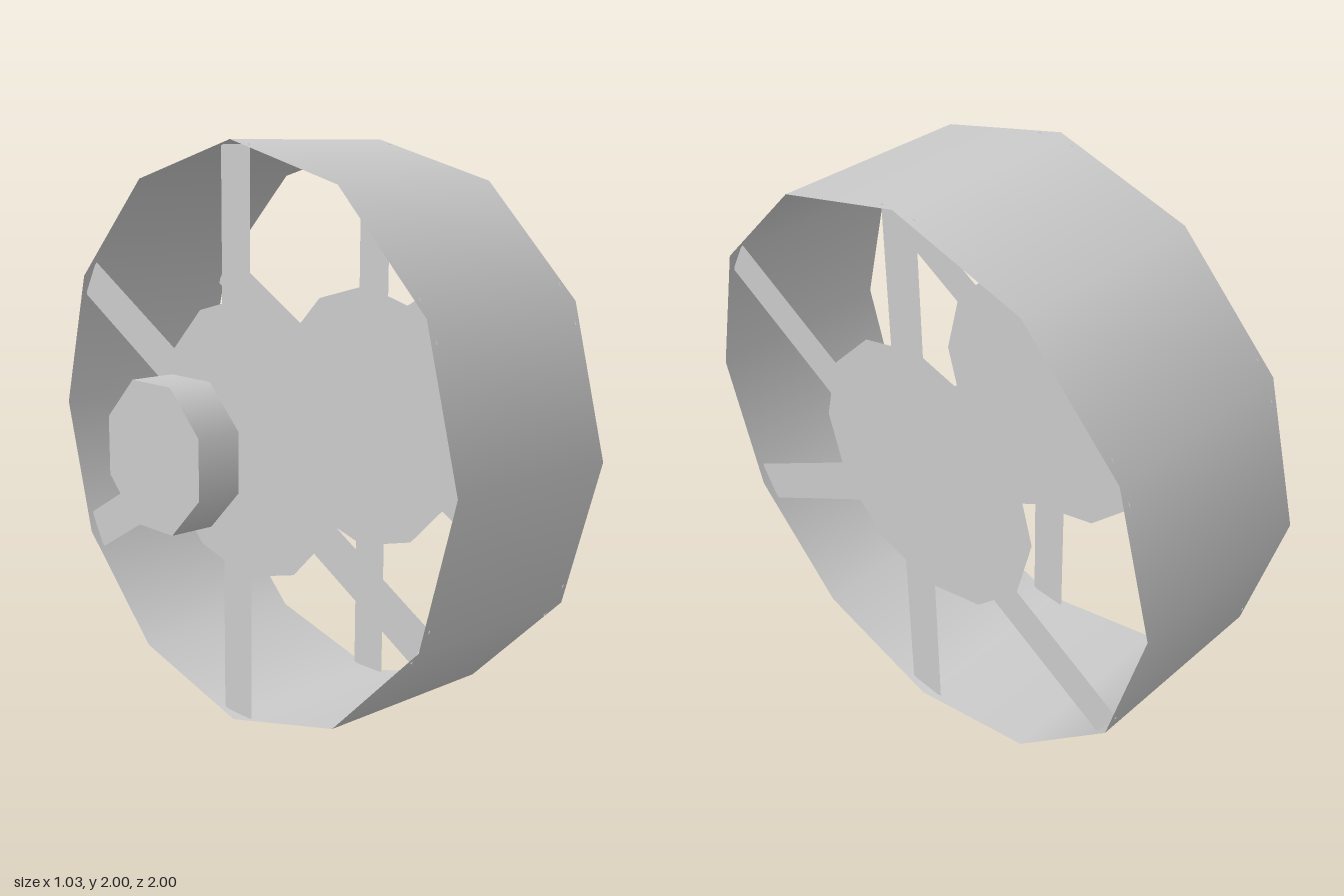
import * as THREE from 'three';

export function createModel() {
  const model = new THREE.Group();
  const solid = new THREE.MeshStandardMaterial({ color: 0xcccccc });
  const thin = new THREE.MeshStandardMaterial({ color: 0xcccccc, side: THREE.DoubleSide });

  const add = (name, geometry, material, x, parent = model) => {
    const mesh = new THREE.Mesh(geometry, material);
    mesh.name = name;
    mesh.position.x = x;
    parent.add(mesh);
    return mesh;
  };

  // Wheel sits with its axle along x, centre one unit above the ground
  model.name = 'wheel';
  const wheel = new THREE.Group();
  wheel.name = 'wheelAssembly';
  wheel.position.y = 1;
  model.add(wheel);

  const middle = 0.162;

  // Open twelve-sided rim band
  const rim = new THREE.CylinderGeometry(1, 1, 0.695, 12, 1, true).rotateZ(Math.PI / 2);
  add('rim', rim, thin, middle, wheel);

  // Each side has a flat plate and three crossing full-length spokes
  const plate = new THREE.CircleGeometry(0.487, 12).rotateY(Math.PI / 2);
  const spoke = new THREE.PlaneGeometry(0.145, 1.97).rotateY(Math.PI / 2);
  for (const side of [-1, 1]) {
    const face = new THREE.Group();
    face.name = side > 0 ? 'outerFace' : 'innerFace';
    face.position.x = middle;
    wheel.add(face);
    add('hubPlate', plate, thin, side * 0.285, face);
    for (let i = 0; i < 3; i++) {
      add('spoke', spoke, thin, side * 0.325, face).rotation.x = (i * Math.PI) / 3;
    }
  }

  // Eight-sided axle cap standing clear of the wheel
  const cap = new THREE.CylinderGeometry(0.26, 0.26, 0.16, 8, 1, false, Math.PI / 8).rotateZ(Math.PI / 2);
  add('axleCap', cap, solid, -0.437, wheel);

  return model;
}
